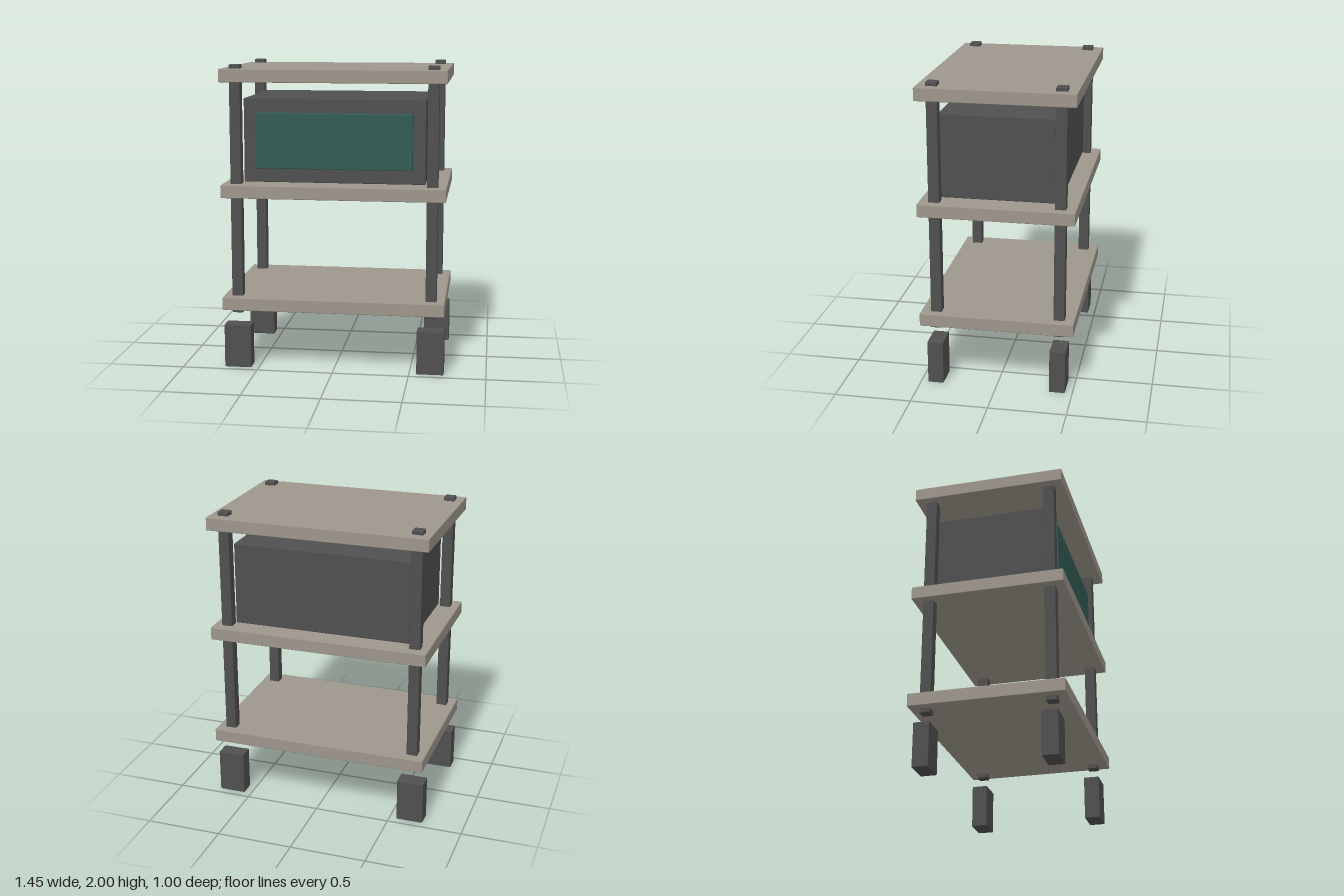
import * as THREE from 'three';
import { RoundedBoxGeometry } from 'three/addons/geometries/RoundedBoxGeometry.js';

const material = (name, color) => {
  const m = new THREE.MeshStandardMaterial({ color });
  m.name = name;
  return m;
};

export function createModel() {
  const group = new THREE.Group();
  group.name = 'shelfStand';
  const stone = material('warm grey', 0x9d968c);
  const dark = material('charcoal', 0x505050);
  const glass = material('dark teal', 0x335c56);

  // Box with finely softened edges, spanning y0 to y1
  const block = (name, mat, w, d, y0, y1, x = 0, z = 0) => {
    const mesh = new THREE.Mesh(new RoundedBoxGeometry(w, y1 - y0, d, 1, 0.005), mat);
    mesh.name = name;
    mesh.position.set(x, (y0 + y1) / 2, z);
    group.add(mesh);
  };

  // Three shelves
  const shelves = { lowerShelf: 0.4, middleShelf: 1.145, topShelf: 1.89 };
  for (const [name, y] of Object.entries(shelves)) block(name, stone, 1.452, 1, y, y + 0.085);

  // Corner posts, with a separate foot below each
  for (const [side, sx] of [['Left', 1], ['Right', -1]]) {
    for (const [end, sz] of [['front', 1], ['back', -1]]) {
      block(`${end}${side}Post`, dark, 0.071, 0.071, 0.37, 2, sx * 0.637, sz * 0.401);
      block(`${end}${side}Foot`, dark, 0.178, 0.104, 0, 0.29, sx * 0.637, sz * 0.401);
    }
  }

  // Cabinet on the middle shelf, with a raised screen
  block('cabinet', dark, 1.178, 0.77, 1.24, 1.783);
  block('screen', glass, 1.014, 0.05, 1.333, 1.692, 0, 0.4);

  return group;
}
